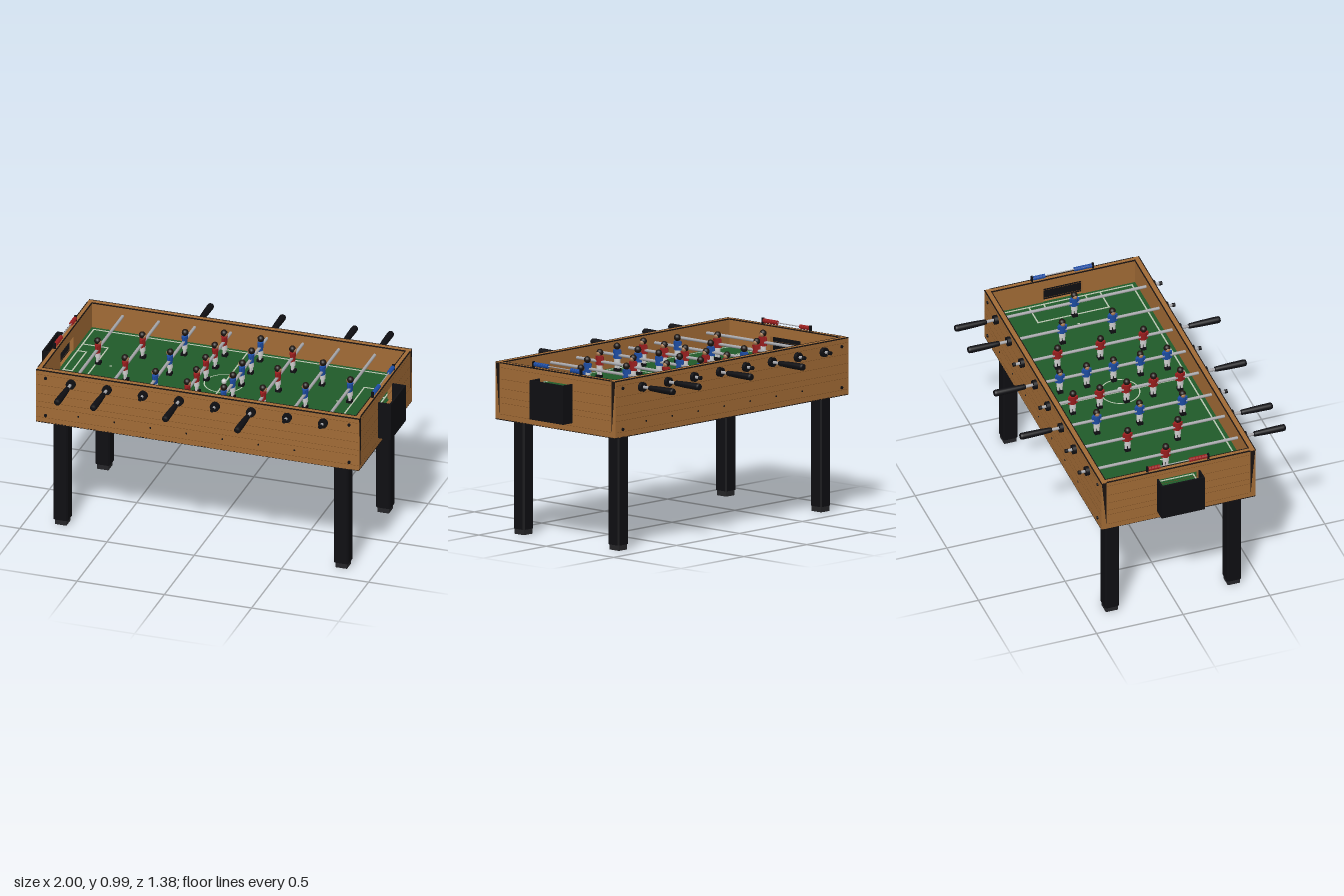
import * as THREE from 'three';

const mat = (color, extra = {}) => new THREE.MeshStandardMaterial({ color, ...extra });
const wood = mat(0xa06a35), grain = mat(0x75491f), black = mat(0x0e0e12), rubber = mat(0x242427), dark = mat(0x1a1310);
const plateMat = mat(0x1a1310, { side: THREE.DoubleSide });
const green = mat(0x1f5a29), white = mat(0xb8c4b0), steel = mat(0xa6a6aa);
const red = mat(0x9c1e1e), blue = mat(0x1d4ea6), skin = mat(0xa87850), hair = mat(0x1c1410), kit = mat(0xd8d8d8);

function add(parent, name, geometry, material, x = 0, y = 0, z = 0) {
  const mesh = new THREE.Mesh(geometry, material);
  mesh.name = name;
  mesh.position.set(x, y, z);
  parent.add(mesh);
  return mesh;
}
const box = (w, h, d) => new THREE.BoxGeometry(w, h, d);
const points = list => list.map(p => new THREE.Vector2(...p));
// Cylinder lying along z
const rodGeo = (r, len, seg = 16) => new THREE.CylinderGeometry(r, r, len, seg).rotateX(Math.PI / 2);

const FIELD = 0.803, TOP = 0.953, BASE = 0.638, ROD = 0.898;

function addCabinet(root) {
  const g = new THREE.Group();
  g.name = 'cabinet';
  root.add(g);
  add(g, 'bottomPanel', box(1.85, 0.005, 0.89), dark, 0, BASE + 0.0005, 0);
  add(g, 'playfield', box(1.81, 0.012, 0.84), green, 0, FIELD - 0.006, 0);
  for (const s of [-1, 1]) {
    // Long side boards with dark edging and screws
    add(g, 'sideBoard', box(1.85, TOP - BASE, 0.03), wood, 0, (TOP + BASE) / 2, s * 0.43);
    add(g, 'sideEdging', box(1.852, 0.006, 0.005), dark, 0, TOP - 0.002, s * 0.444);
    add(g, 'innerEdging', box(1.8, 0.006, 0.005), dark, 0, TOP - 0.002, s * 0.414);
    for (const x of [-0.87, 0.87])
      for (const y of [0.682, 0.908]) add(g, 'cornerScrew', rodGeo(0.009, 0.008, 10), black, x, y, s * 0.447);
    for (let i = 0; i < 7; i++) add(g, 'smallScrew', rodGeo(0.005, 0.004, 8), black, s * (i * 0.2065 - 0.683), 0.704, s * 0.446);

    // End board with a goal opening
    const shape = new THREE.Shape(points([[-0.415, BASE], [0.415, BASE], [0.415, TOP], [-0.415, TOP]]));
    shape.holes.push(new THREE.Path(points([[-0.113, 0.8], [-0.113, 0.892], [0.113, 0.892], [0.113, 0.8]])));
    const endGeo = new THREE.ExtrudeGeometry(shape, { depth: 0.025, bevelEnabled: false });
    endGeo.translate(0, 0, -0.0125).rotateY(Math.PI / 2);
    add(g, 'endBoard', endGeo, wood, s * 0.9125, 0, 0);
    add(g, 'endEdging', box(0.005, 0.006, 0.83), dark, s * 0.924, TOP - 0.002, 0);
    add(g, 'innerEndEdging', box(0.005, 0.006, 0.83), dark, s * 0.899, TOP - 0.002, 0);

    // Fine grain lines in the wood
    for (const y of [0.668, 0.73, 0.762, 0.81, 0.862, 0.925]) {
      add(g, 'sideGrain', box(1.846, 0.0015, 0.001), grain, 0, y, s * 0.445);
      add(g, 'endGrain', box(0.001, 0.0015, 0.82), grain, s * 0.925, y, 0);
    }

    // Tapered dark corner plates
    for (const t of [-1, 1]) {
      const plate = new THREE.Shape(points([[t * 0.415, 0.65], [t * 0.443, TOP - 0.003], [t * 0.415, TOP - 0.003]]));
      add(g, 'cornerPlate', new THREE.ShapeGeometry(plate).rotateY(Math.PI / 2), plateMat, s * 0.9262, 0, 0);
    }
  }
}

function addGoal(root, s) {
  // Open-topped ball box outside the end board
  const g = new THREE.Group();
  g.name = 'goalBox';
  root.add(g);
  add(g, 'goalBack', box(0.01, 0.215, 0.25), black, s * 0.995, 0.7915, 0);
  add(g, 'goalFloor', box(0.075, 0.01, 0.25), black, s * 0.9625, 0.689, 0);
  add(g, 'goalLiner', box(0.006, 0.11, 0.25), black, s * 0.928, 0.739, 0);
  for (const t of [-1, 1]) add(g, 'goalCheek', box(0.075, 0.215, 0.01), black, s * 0.9625, 0.7915, t * 0.12);
}

function addLegs(root) {
  // Square legs with narrow chamfers along the upright edges
  const a = 0.041, c = 0.033, corners = [[a, -c], [a, c], [c, a], [-c, a], [-a, c], [-a, -c], [-c, -a], [c, -a]];
  const legGeo = new THREE.ExtrudeGeometry(new THREE.Shape(points(corners)), { depth: BASE - 0.03, bevelEnabled: false });
  legGeo.rotateX(-Math.PI / 2);
  for (const x of [-0.804, 0.804])
    for (const z of [-0.352, 0.352]) {
      add(root, 'leg', legGeo, black, x, 0.03, z);
      add(root, 'foot', box(0.066, 0.036, 0.07), rubber, x, 0.018, z);
    }
}

function addMarkings(root) {
  const g = new THREE.Group();
  g.name = 'fieldMarkings';
  root.add(g);
  const y = FIELD + 0.0012, w = 0.008;
  const line = (x1, z1, x2, z2) => add(g, 'line', box(Math.abs(x2 - x1) + w, 0.002, Math.abs(z2 - z1) + w), white, (x1 + x2) / 2, y, (z1 + z2) / 2);
  const flat = (geo, x) => add(g, 'roundMark', geo.rotateX(-Math.PI / 2), white, x, y + 0.0012, 0);
  line(0, -0.39, 0, 0.39);
  flat(new THREE.RingGeometry(0.104, 0.111, 48), 0);
  for (const s of [-1, 1]) {
    line(-0.88, s * 0.39, 0.88, s * 0.39);
    line(s * 0.88, -0.39, s * 0.88, 0.39);
    for (const [x, z] of [[0.735, 0.205], [0.83, 0.12]]) {
      line(s * x, -z, s * x, z);
      for (const t of [-1, 1]) line(s * x, t * z, s * 0.88, t * z);
    }
    flat(new THREE.CircleGeometry(0.007, 16), s * 0.65);
  }
  add(root, 'ball', new THREE.SphereGeometry(0.015, 16, 12), kit, 0, FIELD + 0.015, 0);
}

function makePlayer(shirt, face) {
  const p = new THREE.Group();
  p.name = 'player';
  add(p, 'hair', new THREE.SphereGeometry(0.019, 14, 10), hair, -0.002, 0.947, 0);
  add(p, 'face', new THREE.SphereGeometry(0.014, 12, 8), skin, 0.007, 0.941, 0);
  add(p, 'torso', new THREE.CylinderGeometry(0.023, 0.018, 0.052, 10).scale(0.75, 1, 1), shirt, 0, 0.902, 0);
  add(p, 'shorts', new THREE.CylinderGeometry(0.018, 0.019, 0.026, 10).scale(0.8, 1, 1), kit, 0, 0.864, 0);
  for (const t of [-1, 1]) {
    add(p, 'arm', new THREE.CylinderGeometry(0.007, 0.006, 0.046, 8), shirt, 0, 0.902, t * 0.022);
    add(p, 'lowerLeg', new THREE.CylinderGeometry(0.008, 0.007, 0.03, 8), kit, 0, 0.838, t * 0.009);
  }
  add(p, 'shoes', box(0.03, 0.016, 0.03), black, 0.003, 0.817, 0);
  if (face < 0) p.rotation.y = Math.PI;
  return p;
}

// handle: z side of the grip; zs: player positions along the rod
function addRod(root, x, handle, zs) {
  const g = new THREE.Group();
  g.name = 'playerRod';
  g.position.x = x;
  root.add(g);
  add(g, 'rod', rodGeo(0.0085, 1.01, 12), steel, 0, ROD, handle * 0.01);
  for (const s of [-1, 1]) add(g, 'bearing', rodGeo(0.026, 0.021, 20), black, 0, ROD, s * 0.4555);
  add(g, 'endCap', rodGeo(0.011, 0.016, 12), black, 0, ROD, handle * -0.498);
  // Contoured grip, thickest towards its outer end
  const grip = new THREE.LatheGeometry(points([[0, 0.508], [0.012, 0.508], [0.0145, 0.515], [0.0155, 0.54], [0.0175, 0.58],
    [0.0185, 0.63], [0.019, 0.675], [0.018, 0.685], [0.014, 0.69], [0, 0.69]]), 18);
  add(g, 'handle', grip.rotateX(handle * Math.PI / 2), black, 0, ROD, 0);
  for (const z of zs) {
    const p = makePlayer(handle > 0 ? red : blue, handle);
    p.position.z = z;
    g.add(p);
  }
}

function addScorer(root, s) {
  const g = new THREE.Group();
  g.name = 'scoreCounter';
  g.position.x = s * 0.911;
  root.add(g);
  add(g, 'wire', rodGeo(0.003, 0.356, 8), steel, 0, 0.971, 0);
  for (const t of [-1, 1]) add(g, 'post', box(0.014, 0.036, 0.009), black, 0, 0.968, t * 0.176);
  const bead = z => add(g, 'bead', rodGeo(0.012, 0.014, 14), s > 0 ? blue : red, 0, 0.971, z);
  for (let i = 0; i < 6; i++) bead(0.161 - i * 0.0172);
  for (let i = 0; i < 4; i++) bead(-0.161 + i * 0.0172);
}

export function createModel() {
  const root = new THREE.Group();
  root.name = 'tableFootball';
  addCabinet(root);
  addLegs(root);
  addMarkings(root);
  for (const s of [-1, 1]) {
    addGoal(root, s);
    addScorer(root, s);
  }
  const one = [0], two = [-0.145, 0.145], three = [-0.248, 0, 0.248], five = [-0.31, -0.155, 0, 0.155, 0.31];
  const rods = [[1, one], [1, two], [-1, three], [1, five], [-1, five], [1, three], [-1, two], [-1, one]];
  rods.forEach(([handle, zs], i) => addRod(root, (i - 3.5) * 0.2065, handle, zs));
  return root;
}
